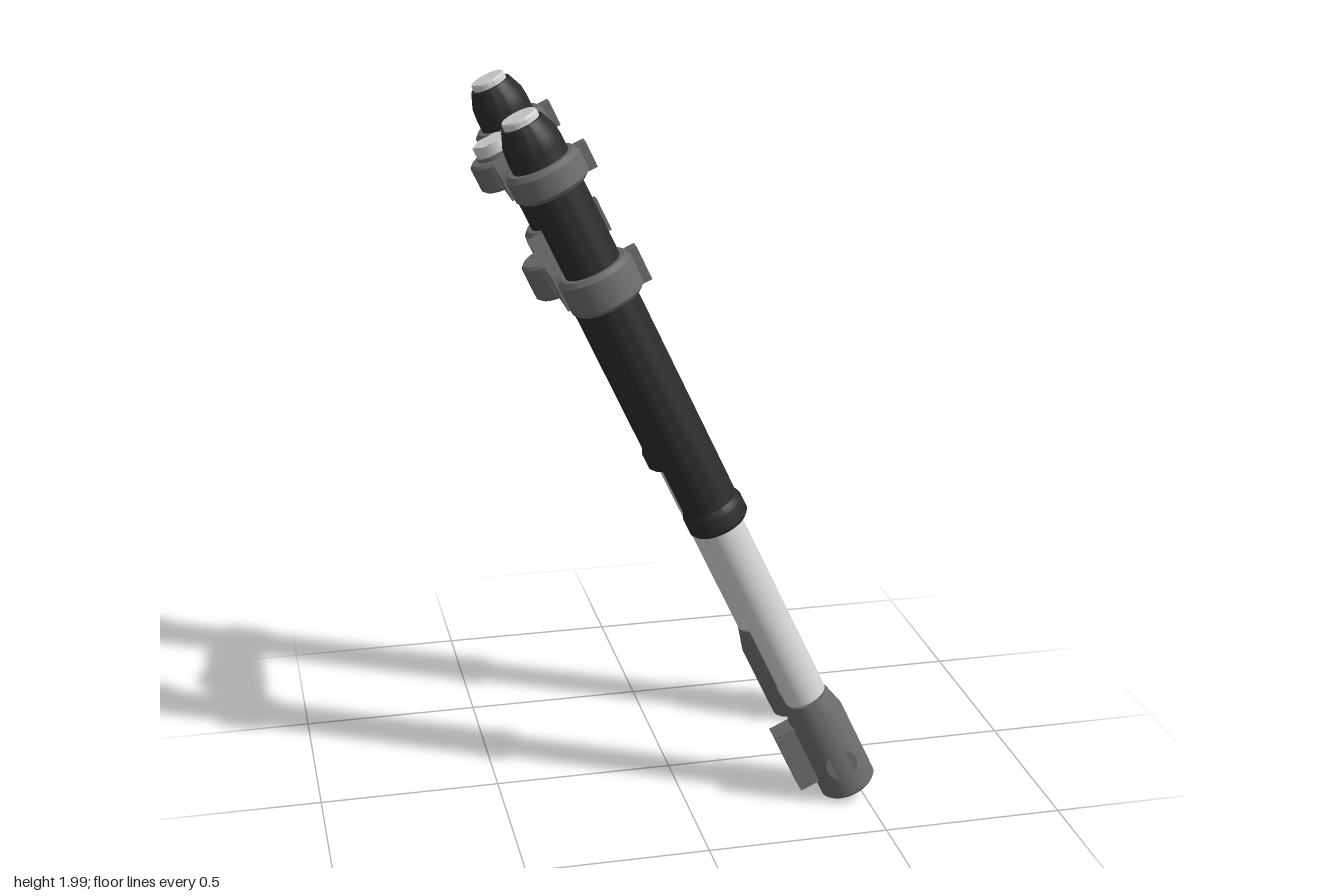
import * as THREE from 'three';
import { toCreasedNormals } from 'three/addons/utils/BufferGeometryUtils.js';

const black = new THREE.MeshStandardMaterial({ color: 0x2b2b2b });
black.name = 'black tube';
const grey = new THREE.MeshStandardMaterial({ color: 0x6b6b6b });
grey.name = 'dark grey metal';
const silver = new THREE.MeshStandardMaterial({ color: 0xd4d4d4 });
silver.name = 'polished silver';

const LEG_Z = 0.262;   // legs sit at plus and minus this depth
const STEM_X = -0.08;  // steering stem sits behind the legs

function add(parent, name, geometry, material, x = 0, y = 0, z = 0) {
  const mesh = new THREE.Mesh(geometry, material);
  mesh.name = name;
  mesh.position.set(x, y, z);
  parent.add(mesh);
  return mesh;
}

// Turned part from [radius, height] points, bottom to top, closed at both ends
function turned(points, segments = 48) {
  const profile = [[0, points[0][1]], ...points, [0, points[points.length - 1][1]]];
  return new THREE.LatheGeometry(profile.map(([r, y]) => new THREE.Vector2(r, y)), segments);
}
const sharp = (geometry) => toCreasedNormals(geometry, 0.45);

// Disc with bevelled rims
function bevelDisc(r, y0, y1, b = 0.012) {
  return sharp(turned([[r - b, y0], [r, y0 + b], [r, y1 - b], [r - b, y1]]));
}

function createLeg() {
  const leg = new THREE.Group();
  leg.name = 'forkLeg';

  // Axle lug: round below, pinched front to back at the top
  const lug = turned([[0.074, 0], [0.08, 0.007], [0.08, 0.24], [0.075, 0.318]]);
  const pos = lug.attributes.position;
  for (let i = 0; i < pos.count; i++) {
    if (pos.getY(i) > 0.3) pos.setX(i, pos.getX(i) * 0.8);
  }
  add(leg, 'axleLug', sharp(lug), grey);
  const axle = new THREE.CylinderGeometry(0.045, 0.045, 0.152, 32).rotateX(Math.PI / 2);
  add(leg, 'axleBoss', axle, grey, 0, 0.105, 0);

  add(leg, 'innerTube', new THREE.CylinderGeometry(0.06, 0.06, 0.64, 48), silver, 0, 0.62, 0);

  // Outer tube with a seal collar below and a tapered head
  add(leg, 'outerTube', sharp(turned([
    [0.076, 0.93], [0.076, 2.05], [0.073, 2.08], [0.056, 2.122],
  ])), black);
  add(leg, 'sealCollar', sharp(turned([
    [0.076, 0.905], [0.084, 0.915], [0.084, 0.958], [0.076, 0.975],
  ])), black);
  add(leg, 'topCap', sharp(turned([
    [0.048, 2.11], [0.048, 2.136], [0.045, 2.141],
  ])), silver);
  return leg;
}

// Bridge joining both legs between heights y0 and y1
function createClamp(name, y0, y1) {
  const clamp = new THREE.Group();
  clamp.name = name;
  const h = y1 - y0, mid = (y0 + y1) / 2;
  add(clamp, 'bridge', new THREE.BoxGeometry(0.125, h - 0.004, 0.4), grey, -0.0425, mid, 0);
  add(clamp, 'stemBoss', bevelDisc(0.077, y0, y1, 0.008), grey, STEM_X, 0, 0);
  for (const z of [-LEG_Z, LEG_Z]) {
    add(clamp, 'clampRing', bevelDisc(0.101, y0, y1), grey, 0, 0, z);
    add(clamp, 'pinchTab', new THREE.BoxGeometry(0.05, h - 0.006, 0.034), grey, 0.096, mid, z);
  }
  return clamp;
}

export function createModel() {
  const model = new THREE.Group();
  model.name = 'frontFork';

  for (const z of [-LEG_Z, LEG_Z]) {
    const leg = createLeg();
    leg.position.z = z;
    model.add(leg);
    // Brake mount on one leg only
    if (z > 0) add(leg, 'brakeMount', new THREE.BoxGeometry(0.09, 0.19, 0.06), grey, -0.086, 0.159, 0);
  }

  model.add(createClamp('lowerClamp', 1.606, 1.71));
  model.add(createClamp('upperClamp', 1.935, 2.014));

  // Steering stem nut
  add(model, 'stemWasher', new THREE.CylinderGeometry(0.052, 0.052, 0.012, 32), grey, STEM_X, 2.018, 0);
  const nut = new THREE.CylinderGeometry(0.049, 0.049, 0.04, 6).rotateY(Math.PI / 6);
  add(model, 'stemNut', nut, silver, STEM_X, 2.034, 0);

  // Rake angle
  model.rotation.z = 0.434;
  model.position.set(0.462, 0.035, 0);
  const root = new THREE.Group();
  root.name = 'forkAssembly';
  root.add(model);
  return root;
}
